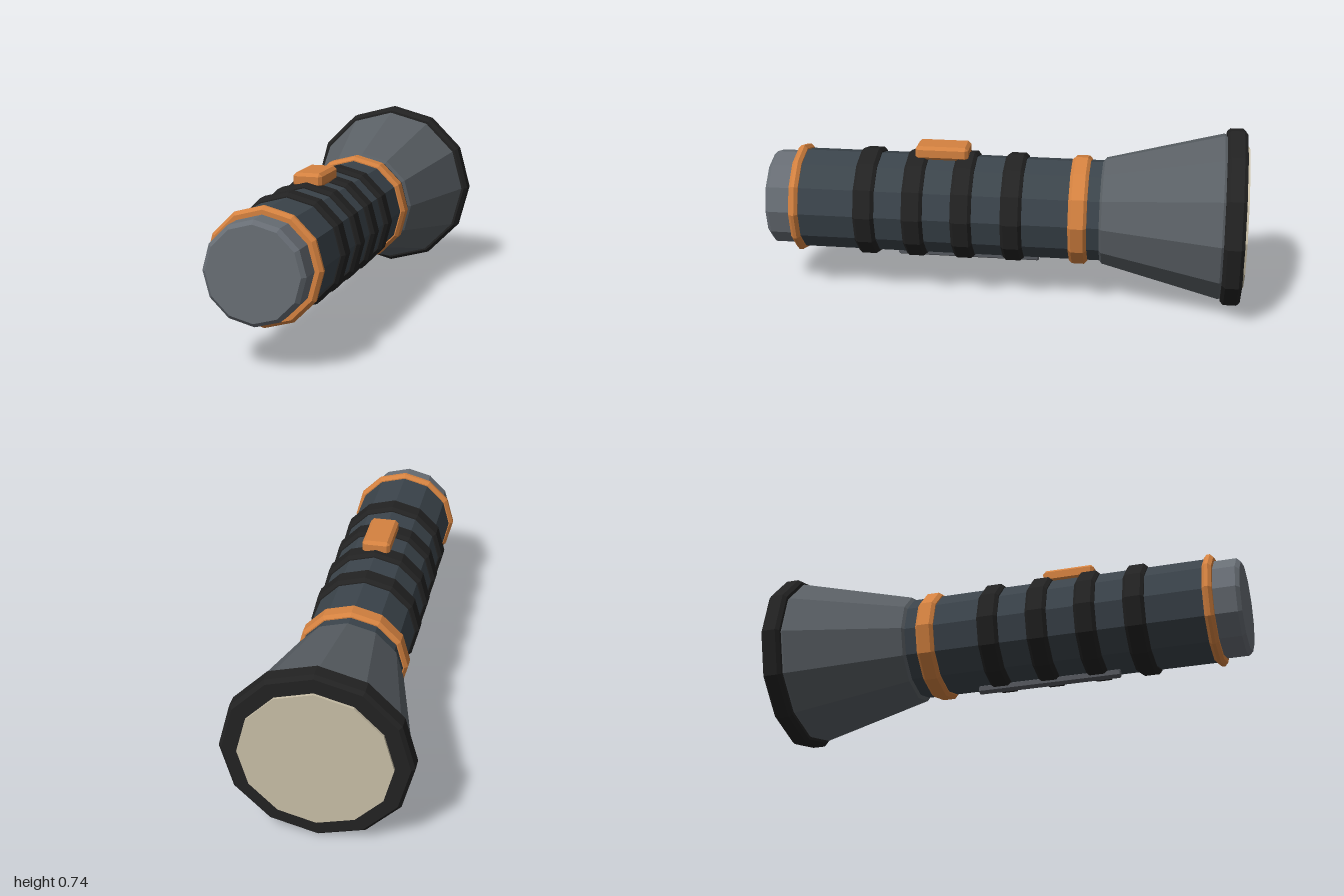
import * as THREE from 'three';
import { ConvexGeometry } from 'three/addons/geometries/ConvexGeometry.js';

const AXIS_Y = 0.372;

function material(name, color) {
  const m = new THREE.MeshStandardMaterial({ color });
  m.name = name;
  return m;
}

// Separate the faces so that each facet gets its own flat normal
function faceted(geometry) {
  const g = geometry.index ? geometry.toNonIndexed() : geometry;
  g.deleteAttribute('normal');
  g.computeVertexNormals();
  return g;
}

// Closed faceted solid turned about the z axis; profile is [radius, z] from back to front
function turned(profile, sides = 12) {
  const pts = [[0, profile[0][1]], ...profile, [0, profile[profile.length - 1][1]]];
  const g = new THREE.LatheGeometry(pts.map(([r, z]) => new THREE.Vector2(r, z)), sides);
  g.rotateX(Math.PI / 2);
  return faceted(g);
}

// Short drum with chamfered rims
function drum(radius, z0, z1, bevel, sides = 12) {
  return turned([
    [radius - bevel, z0], [radius, z0 + bevel],
    [radius, z1 - bevel], [radius - bevel, z1],
  ], sides);
}

// Box with every edge chamfered
function chamferBox(w, h, d, c) {
  const pts = [];
  for (const x of [-1, 1]) for (const y of [-1, 1]) for (const z of [-1, 1]) {
    for (let k = 0; k < 3; k++) {
      pts.push(new THREE.Vector3(
        x * (w / 2 - (k === 0 ? 0 : c)),
        y * (h / 2 - (k === 1 ? 0 : c)),
        z * (d / 2 - (k === 2 ? 0 : c))));
    }
  }
  return faceted(new ConvexGeometry(pts));
}

export function createModel() {
  const group = new THREE.Group();
  group.name = 'flashlight';

  const bodyMat = material('slate body', 0x3b444b);
  const headMat = material('grey head', 0x5a6065);
  const capMat = material('light grey cap', 0x686e75);
  const rubber = material('black rubber', 0x222222);
  const orange = material('orange trim', 0xd58240);
  const lensMat = material('cream lens', 0xc8bea6);
  const railMat = material('grey rail', 0x55585e);

  const add = (name, geometry, mat, y = AXIS_Y, z = 0) => {
    const mesh = new THREE.Mesh(geometry, mat);
    mesh.name = name;
    mesh.position.set(0, y, z);
    group.add(mesh);
    return mesh;
  };

  // Barrel and tail
  add('barrel', drum(0.213, -0.42, 0.875, 0.01), bodyMat);
  add('tailCap', drum(0.2, 0.85, 1, 0.016), capMat);
  add('tailRing', drum(0.231, 0.854, 0.893, 0.013), orange);
  add('neckRing', drum(0.231, -0.352, -0.275, 0.013), orange);

  // Rubber grip rings
  [0.576, 0.372, 0.168, -0.04].forEach((z, i) =>
    add('gripRing' + (i + 1), drum(0.231, z - 0.044, z + 0.044, 0.013), rubber));

  // Flared head, bezel and lens
  add('head', turned([[0.335, -0.92], [0.349, -0.898], [0.226, -0.412], [0.21, -0.4]]), headMat);
  add('bezel', drum(0.372, -0.989, -0.907, 0.014), rubber);
  add('lens', turned([[0.298, -1], [0.298, -0.98]]), lensMat);

  // Switch on top, rail underneath
  add('switch', chamferBox(0.12, 0.058, 0.222, 0.013), orange, 0.609, 0.268);
  add('bottomRail', drum(0.02, -0.137, 0.469, 0.005, 6), railMat, 0.146);

  return group;
}
